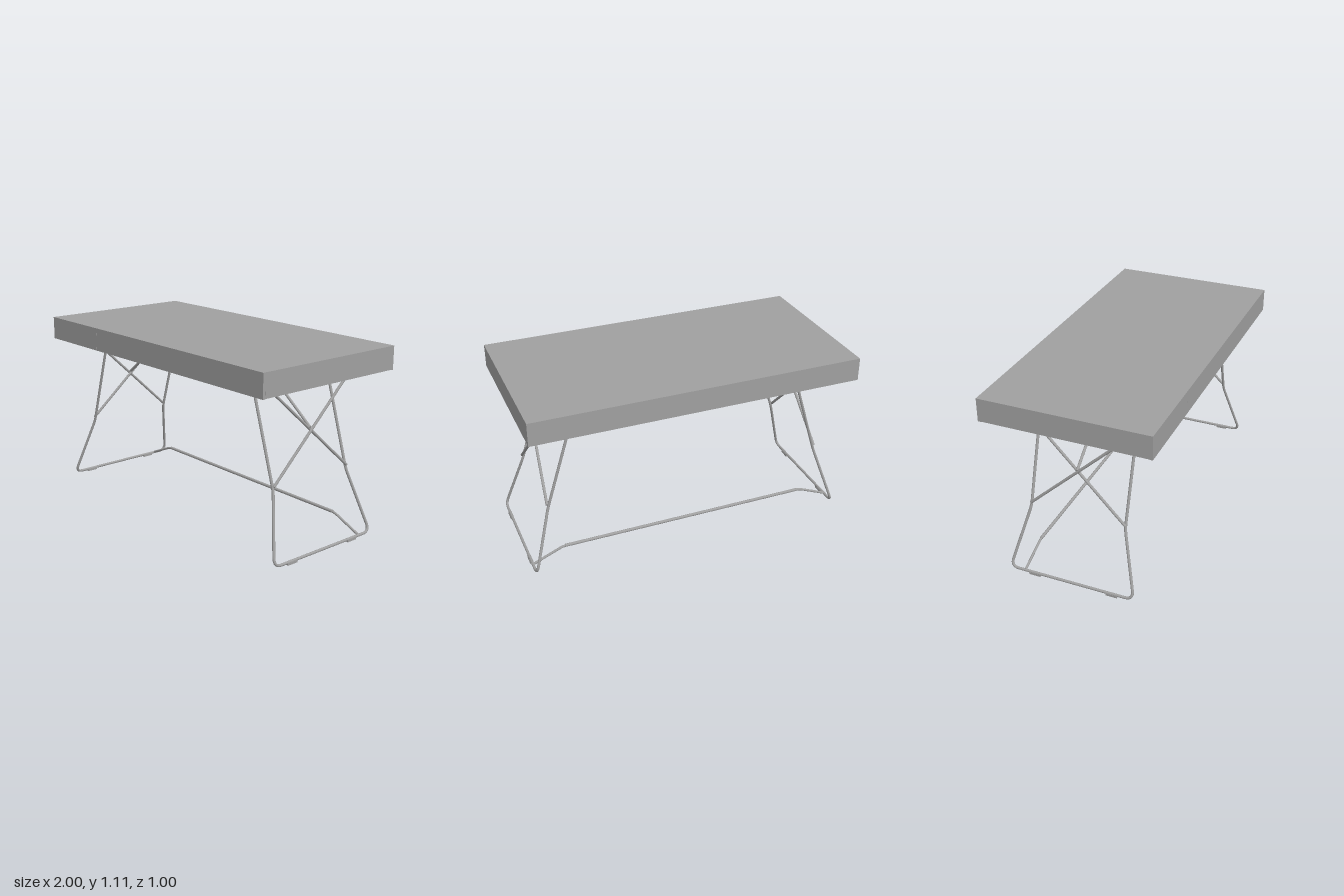
import * as THREE from 'three';

const grey = new THREE.MeshStandardMaterial({ color: 0xa0a0a0 });
const V = (p) => new THREE.Vector3(...p);

function box(name, size, pos) {
  const mesh = new THREE.Mesh(new THREE.BoxGeometry(...size), grey);
  mesh.name = name;
  mesh.position.set(...pos);
  return mesh;
}

// Bent rod: straight runs joined by rounded bends, with flat end caps.
// Each point is [x, y, z, bend length].
function rod(name, points, radius, segments) {
  const path = new THREE.CurvePath();
  const pts = points.map((p) => V(p.slice(0, 3)));
  let from = pts[0];
  for (let i = 1; i < pts.length - 1; i++) {
    const bend = points[i][3];
    const a = pts[i].clone().add(pts[i - 1].clone().sub(pts[i]).setLength(bend));
    const b = pts[i].clone().add(pts[i + 1].clone().sub(pts[i]).setLength(bend));
    path.add(new THREE.LineCurve3(from, a));
    path.add(new THREE.QuadraticBezierCurve3(a, pts[i], b));
    from = b;
  }
  const last = pts[pts.length - 1];
  path.add(new THREE.LineCurve3(from, last));

  const group = new THREE.Group();
  group.name = name;
  const tube = new THREE.Mesh(new THREE.TubeGeometry(path, segments, radius, 12), grey);
  tube.name = name + 'Tube';
  group.add(tube);
  [[pts[0], pts[1]], [last, pts[pts.length - 2]]].forEach(([end, inner]) => {
    const cap = new THREE.Mesh(new THREE.CircleGeometry(radius, 12), grey);
    cap.name = name + 'Cap';
    cap.position.copy(end);
    cap.lookAt(end.clone().multiplyScalar(2).sub(inner));
    group.add(cap);
  });
  return group;
}

// One end frame: a single bent rod forming both legs, the floor bar and the crossing braces.
function endFrame(name) {
  const group = new THREE.Group();
  group.name = name;
  const z = 0.289, floorZ = 0.386, top = 0.957;
  const half = (s, loopX) => [
    [0.876, 0.418, -s * z, 0],
    [loopX, top, s * z, 0.035],
    [0.698, top, s * z, 0.045],
    [0.872, 0.395, s * z, 0.03],
    [0.99, 0.014, s * floorZ, 0.055],
  ];
  const points = [...half(-1, 0.861), ...half(1, 0.822).reverse()];
  group.add(rod('legFrame', points, 0.0083, 400));

  // Diagonal strut from the braces' crossing to the mounting plate
  group.add(rod('diagonalStrut', [
    [0.856, 0.695, 0, 0],
    [0.535, 0.942, 0, 0.015],
    [0.535, 0.967, 0, 0],
  ], 0.008, 50));
  group.add(box('mountingPlate', [0.21, 0.005, 0.062], [0.625, 0.9695, 0]));
  return group;
}

export function createModel() {
  const model = new THREE.Group();
  model.name = 'desk';

  // Desk body under a thin top sheet, with a back panel and three flush front panels
  model.add(box('deskTop', [2, 0.006, 1.004], [0, 1.106, 0]));
  model.add(box('deskBody', [2, 0.132, 0.968], [0, 1.037, 0]));
  const y = 1.036, h = 0.134, z = 0.493, t = 0.018;
  model.add(box('backPanel', [2, h, t], [0, y, -z]));
  [[-0.75, 0.5], [0, 1], [0.75, 0.5]].forEach(([x, w]) =>
    model.add(box('frontPanel', [w - 0.001, h, t], [x, y, z])));

  // End frames, the second turned half a circle
  const left = endFrame('leftFrame');
  const right = endFrame('rightFrame');
  right.rotation.y = Math.PI;
  left.position.z = right.position.z = 0.006;
  model.add(left, right);

  // Feet under the floor bars
  for (const s of [-1, 1]) {
    for (const footZ of [0.26, -0.22]) model.add(box('foot', [0.02, 0.014, 0.07], [s * 0.99, 0.007, footZ]));
  }

  // Low stretcher along the back, with a thicker straight middle
  model.add(rod('stretcher', [
    [-0.985, 0.018, -0.284, 0],
    [-0.795, 0.098, -0.284, 0.03],
    [0.795, 0.098, -0.284, 0.03],
    [0.985, 0.018, -0.284, 0],
  ], 0.0075, 160));
  model.add(rod('stretcherSleeve', [[-0.785, 0.098, -0.284, 0], [0.785, 0.098, -0.284, 0]], 0.0095, 1));

  return model;
}
